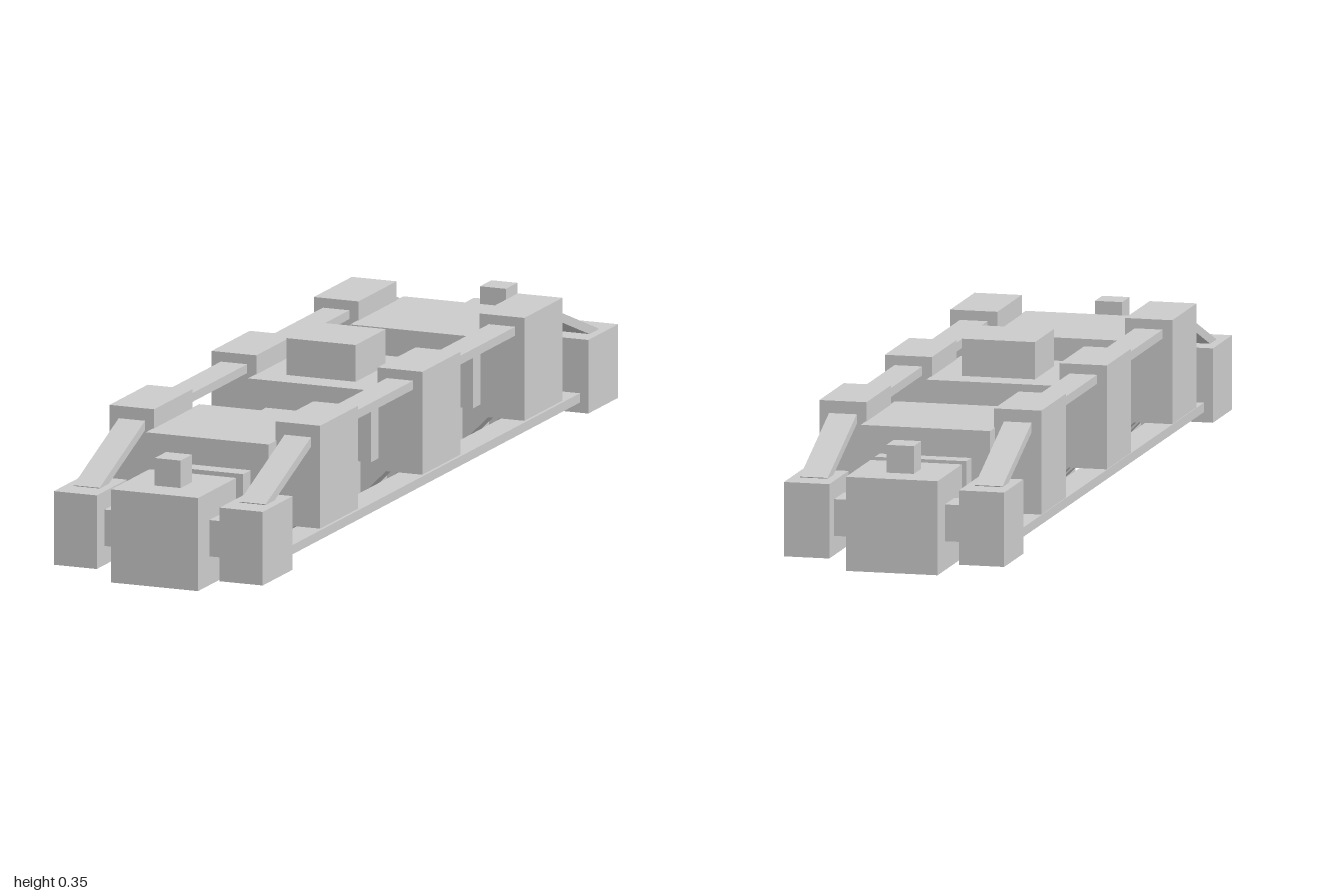
import * as THREE from 'three';

const material = new THREE.MeshStandardMaterial({ color: 0xcccccc, flatShading: true });

// Box given by its ranges along each axis
function box(parent, name, [x0, x1], [y0, y1], [z0, z1]) {
  const mesh = new THREE.Mesh(new THREE.BoxGeometry(x1 - x0, y1 - y0, z1 - z0), material);
  mesh.name = name;
  mesh.position.set((x0 + x1) / 2, (y0 + y1) / 2, (z0 + z1) / 2);
  parent.add(mesh);
  return mesh;
}

// Range along x on one side of the model
const sideRange = (s, a, b) => (s > 0 ? [a, b] : [-b, -a]);

// Hull module: base, upper body, side pods and diagonal braces
function makeModule(name, z) {
  const g = new THREE.Group();
  g.name = name;
  g.position.z = z;
  box(g, 'base', [-0.104, 0.104], [0, 0.21], [-0.188, 0.188]);
  box(g, 'upperBody', [-0.147, 0.147], [0.11, 0.272], [-0.147, 0.147]);
  for (const s of [-1, 1]) {
    box(g, 'sidePod', sideRange(s, 0.145, 0.252), [0.083, 0.315], [-0.105, 0.105]);
    for (const dz of [-0.073, 0.073]) {
      const brace = box(g, 'brace', [-0.055, 0.055], [-0.03, 0.03], [-0.032, 0.032]);
      brace.position.set(s * 0.114, 0.074, dz);
      brace.rotation.z = s * Math.PI / 4;
    }
  }
  return g;
}

// End section: central block with a knob, cross arm and two corner blocks
function makeEnd(name, s) {
  const g = new THREE.Group();
  g.name = name;
  const zr = (a, b) => sideRange(s, a, b);
  box(g, 'endBlock', [-0.104, 0.104], [0, 0.21], zr(0.79, 1));
  box(g, 'knob', [-0.031, 0.031], [0.2, 0.272], zr(0.865, 0.928));
  box(g, 'crossArm', [-0.16, 0.16], [0.065, 0.147], zr(0.856, 0.938));
  for (const side of [-1, 1]) {
    box(g, 'cornerBlock', sideRange(side, 0.147, 0.25), [0.022, 0.188], zr(0.815, 0.98));
    // Sloping rail from the outer pod down to the corner block
    const dz = 0.265, dy = -0.103;
    const slope = box(g, 'slopingRail', sideRange(side, 0.167, 0.23), [-0.01, 0.01],
      [-Math.hypot(dz, dy) / 2, Math.hypot(dz, dy) / 2]);
    slope.position.y = 0.232;
    slope.position.z = s * 0.782;
    slope.rotation.x = s * Math.atan2(-dy, dz);
  }
  return g;
}

export function createModel() {
  const model = new THREE.Group();
  model.name = 'modularStation';

  // Modules along the spine
  model.add(makeModule('frontModule', 0.563));
  model.add(makeModule('rearModule', -0.563));
  const centre = makeModule('centreModule', 0);
  box(centre, 'roofBlock', [-0.083, 0.083], [0.26, 0.355], [-0.083, 0.083]);
  model.add(centre);

  // Ends
  model.add(makeEnd('frontEnd', 1), makeEnd('rearEnd', -1));

  // Spine and long rails
  box(model, 'spine', [-0.041, 0.041], [0.065, 0.147], [-0.82, 0.82]);
  for (const s of [-1, 1]) {
    box(model, 'upperRail', sideRange(s, 0.167, 0.23), [0.273, 0.293], [-0.56, 0.56]);
    box(model, 'lowerRail', sideRange(s, 0.167, 0.23), [0.045, 0.066], [-0.9, 0.9]);
  }
  return model;
}
